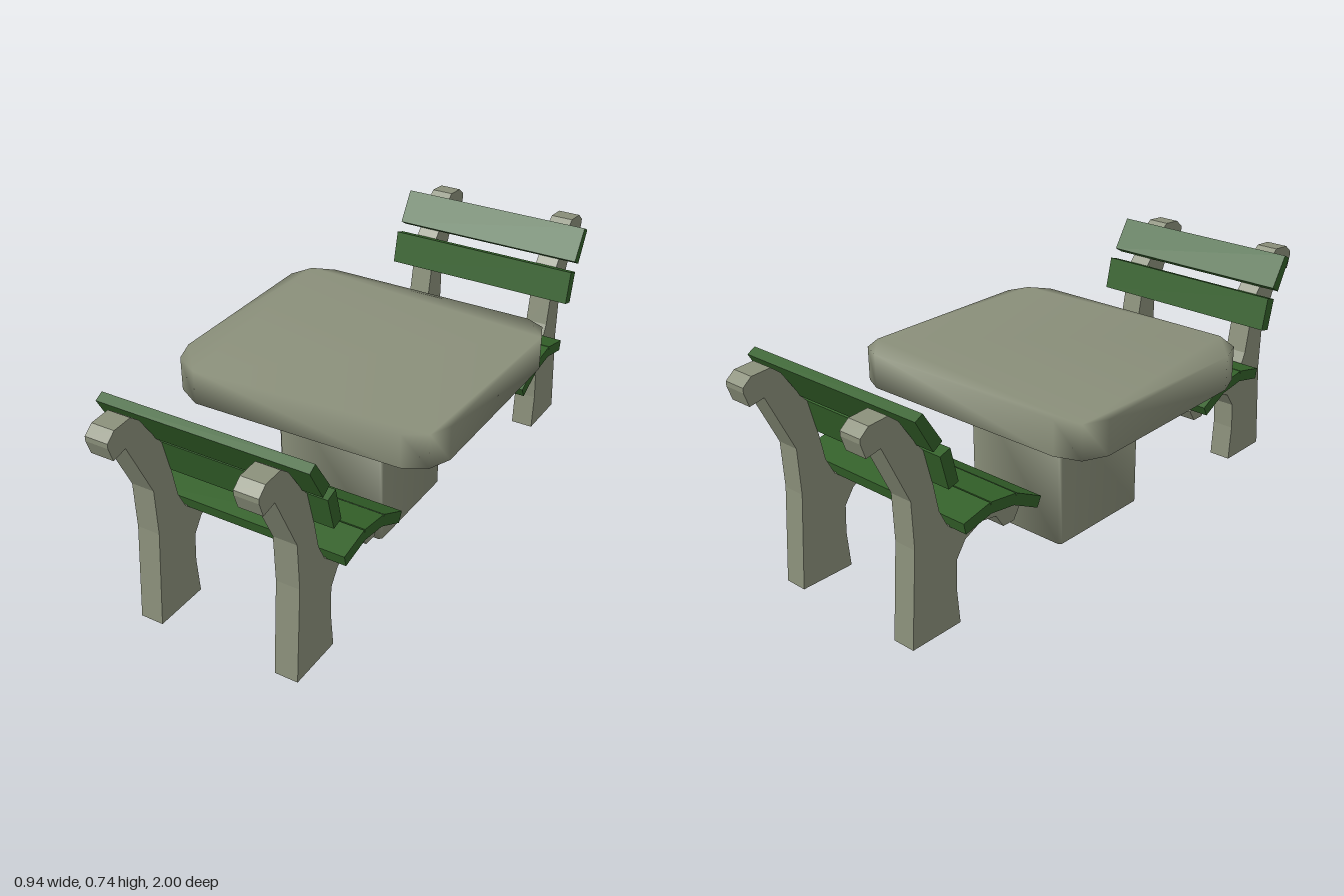
import * as THREE from 'three';
import { mergeVertices } from 'three/addons/utils/BufferGeometryUtils.js';

const stone = new THREE.MeshStandardMaterial({ color: 0x8a8f7a });
stone.name = 'stone';
const greenWood = new THREE.MeshStandardMaterial({ color: 0x336029 });
greenWood.name = 'greenWood';

const toShape = (pts) => new THREE.Shape(pts.map(([a, b]) => new THREE.Vector2(a, b)));

function addMesh(parent, geometry, material, name) {
  const mesh = new THREE.Mesh(geometry, material);
  mesh.name = name;
  parent.add(mesh);
}

// Side profile of [z, y] points, extruded from x0 to x1
function sideExtrude(pts, x0, x1) {
  const g = new THREE.ExtrudeGeometry(toShape(pts), { depth: x1 - x0, bevelEnabled: false });
  g.rotateY(-Math.PI / 2);
  g.translate(x1, 0, 0);
  return g;
}

// Plan outline of [x, z] points, extruded from y0 to y1 with soft shared normals
function softSlab(pts, y0, y1) {
  const g = new THREE.ExtrudeGeometry(toShape(pts.map(([x, z]) => [x, -z])), { depth: y1 - y0, bevelEnabled: false });
  g.rotateX(-Math.PI / 2);
  g.translate(0, y0, 0);
  g.deleteAttribute('uv');
  g.deleteAttribute('normal');
  const merged = mergeVertices(g, 1e-4);
  merged.computeVertexNormals();
  return merged;
}

// Bench side frame: leg, backrest post and seat arm in one casting
const FRAME = [
  [0.68, 0], [0.69, 0.12], [0.685, 0.21], [0.65, 0.26], [0.585, 0.29], [0.525, 0.28],
  [0.495, 0.235], [0.45, 0.235], [0.425, 0.275], [0.505, 0.33], [0.61, 0.35], [0.715, 0.33],
  [0.745, 0.39], [0.765, 0.49], [0.793, 0.593], [0.815, 0.618], [0.873, 0.705], [0.905, 0.73],
  [0.97, 0.725], [1.0, 0.70], [1.0, 0.685], [0.985, 0.64], [0.935, 0.65], [0.845, 0.46],
  [0.84, 0.31], [0.865, 0],
];

const BACK_SLATS = [
  [[0.873, 0.72], [0.846, 0.735], [0.782, 0.635], [0.815, 0.615]],
  [[0.793, 0.593], [0.755, 0.605], [0.729, 0.497], [0.766, 0.487]],
];

// Curve of the seat top, from back to front
const SEAT_TOP = [[0.718, 0.36], [0.61, 0.384], [0.505, 0.37], [0.4, 0.317]];

const BENCH_MID = 0.035; // the benches sit slightly off the table's centre line

function createBench(name) {
  const bench = new THREE.Group();
  bench.name = name;
  bench.position.x = BENCH_MID;

  for (const [side, x] of [['right', -0.236], ['left', 0.236]]) {
    addMesh(bench, sideExtrude(FRAME, x - 0.038, x + 0.038), stone, side + 'BenchFrame');
  }

  const x0 = -0.345, x1 = 0.337;
  BACK_SLATS.forEach((quad, i) => addMesh(bench, sideExtrude(quad, x0, x1), greenWood, 'backSlat' + (i + 1)));

  // Seat slats follow the curve, with a narrow gap between neighbours
  for (let i = 0; i < 3; i++) {
    const a = new THREE.Vector2(...SEAT_TOP[i]);
    const b = new THREE.Vector2(...SEAT_TOP[i + 1]);
    const d = b.clone().sub(a).normalize();
    const down = new THREE.Vector2(-d.y, d.x);
    if (down.y > 0) down.negate();
    down.multiplyScalar(0.036);
    a.addScaledVector(d, 0.002);
    b.addScaledVector(d, -0.002);
    const quad = [a, b, b.clone().add(down), a.clone().add(down)].map((p) => [p.x, p.y]);
    addMesh(bench, sideExtrude(quad, x0, x1), greenWood, 'seatSlat' + (i + 1));
  }
  return bench;
}

export function createModel() {
  const model = new THREE.Group();
  model.name = 'picnicTableWithBenches';

  // Stone table top with clipped, uneven corners
  const top = [
    [-0.47, -0.305], [-0.435, -0.38], [-0.355, -0.41], [0.375, -0.415], [0.44, -0.385], [0.467, -0.32],
    [0.467, 0.295], [0.437, 0.365], [0.365, 0.405], [-0.345, 0.418], [-0.43, 0.37], [-0.46, 0.29],
  ];
  addMesh(model, softSlab(top, 0.465, 0.578), stone, 'tableTop');

  // Square pedestal with narrow chamfers
  const l = -0.19, r = 0.19, b = -0.187, f = 0.203, c = 0.01;
  const base = [
    [l, b + c], [l + c, b], [r - c, b], [r, b + c],
    [r, f - c], [r - c, f], [l + c, f], [l, f - c],
  ];
  addMesh(model, softSlab(base, 0.013, 0.47), stone, 'tablePedestal');

  // Two facing benches
  const front = createBench('frontBench');
  const back = createBench('backBench');
  back.rotation.y = Math.PI;
  model.add(front, back);
  return model;
}
